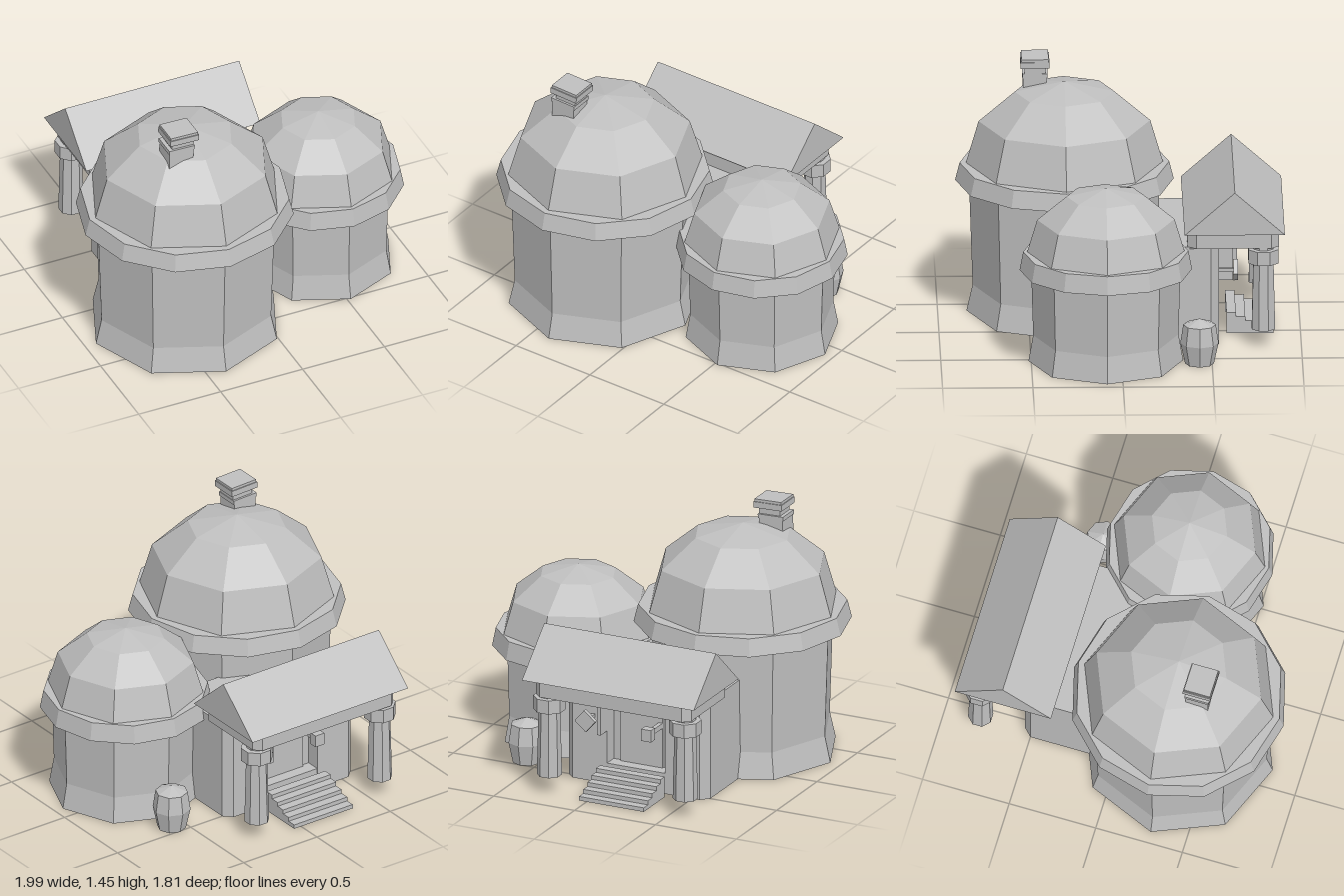
import * as THREE from 'three';

export function createModel() {
  const model = new THREE.Group();
  const stone = new THREE.MeshStandardMaterial({ color: 0xbfbfbf, flatShading: true });
  stone.name = 'pale grey stone';

  function add(name, geometry, x = 0, y = 0, z = 0, parent = model) {
    const mesh = new THREE.Mesh(geometry, stone);
    mesh.name = name;
    mesh.position.set(x, y, z);
    parent.add(mesh);
    return mesh;
  }
  const box = (name, w, h, d, x, y, z, parent) =>
    add(name, new THREE.BoxGeometry(w, h, d), x, y, z, parent);
  const lathe = (profile, sides) =>
    new THREE.LatheGeometry(profile.map(p => new THREE.Vector2(...p)), sides);
  // Upright prism over an (x, z) footprint
  function prism(name, footprint, y0, y1) {
    const shape = new THREE.Shape(footprint.map(p => new THREE.Vector2(...p)));
    const g = new THREE.ExtrudeGeometry(shape, { depth: y1 - y0, bevelEnabled: false });
    g.rotateX(Math.PI / 2);
    return add(name, g, 0, y1, 0);
  }

  // Round domed towers: hollow flared skirt, wall, twelve-sided eave ring, faceted dome
  function tower(name, x, z, skirt, wall, ring, dome) {
    const g = new THREE.Group();
    g.name = name;
    g.position.set(x, 0, z);
    model.add(g);
    add('skirt', lathe(skirt, 8), 0, 0, 0, g);
    add('wall', lathe(wall, 8), 0, 0, 0, g);
    add('eaveRing', lathe(ring, 12), 0, 0, 0, g);
    add('dome', lathe(dome, 8), 0, 0, 0, g);
  }
  tower('largeTower', -0.392, 0.298,
    [[0.504, 0.15], [0.538, 0], [0.542, 0], [0.508, 0.15]],
    [[0, 0.15], [0.508, 0.15], [0.53, 0.82]],
    [[0.5, 0.76], [0.605, 0.76], [0.58, 0.86], [0.5, 0.86]],
    [[0.56, 0.8], [0.545, 0.86], [0.475, 1.1], [0.275, 1.27], [0, 1.33]]);
  tower('smallTower', 0.52, 0.087,
    [[0.398, 0.15], [0.424, 0], [0.428, 0], [0.402, 0.15]],
    [[0, 0.15], [0.402, 0.15], [0.415, 0.6]],
    [[0.39, 0.53], [0.477, 0.53], [0.457, 0.635], [0.39, 0.635]],
    [[0.445, 0.58], [0.435, 0.635], [0.38, 0.82], [0.217, 0.955], [0, 1.003]]);

  // Slightly leaning chimney
  const chimney = new THREE.Group();
  chimney.name = 'chimney';
  chimney.position.set(-0.52, 1.235, 0.46);
  chimney.rotation.z = -0.03;
  model.add(chimney);
  box('chimneyBase', 0.145, 0.13, 0.13, 0, 0.045, 0, chimney);
  box('chimneyBand', 0.155, 0.025, 0.14, 0, 0.112, 0, chimney);
  box('chimneyNeck', 0.13, 0.06, 0.115, 0.01, 0.145, 0, chimney);
  box('chimneyCap', 0.175, 0.035, 0.16, 0.01, 0.18, 0, chimney);
  box('chimneyTop', 0.165, 0.018, 0.15, 0.01, 0.204, 0, chimney);

  // Hollow entrance hall with chamfered corners and a recessed doorway
  const cx = -0.153;
  const left = cx - 0.18, right = cx + 0.18;
  prism('hallWalls', [
    [-0.59, -0.05], [-0.59, -0.5], [-0.545, -0.545], [left, -0.545],
    [left, -0.46], [right, -0.46], [right, -0.545],
    [0.24, -0.545], [0.285, -0.5], [0.285, -0.05],
    [0.27, -0.05], [0.27, -0.494], [0.234, -0.53], [right + 0.015, -0.53],
    [right + 0.015, -0.445], [left - 0.015, -0.445], [left - 0.015, -0.53],
    [-0.539, -0.53], [-0.575, -0.494], [-0.575, -0.05]], 0, 0.57);
  box('hallCeiling', 0.875, 0.012, 0.45, cx, 0.574, -0.275);
  box('hallFloor', 0.84, 0.012, 0.14, cx, 0.11, -0.42);
  box('doorSill', 0.36, 0.12, 0.085, cx, 0.06, -0.5);
  box('doorLintel', 0.32, 0.07, 0.15, cx, 0.54, -0.545);
  box('door', 0.26, 0.38, 0.02, cx, 0.31, -0.465);
  box('doorSidePanel', 0.02, 0.265, 0.08, right + 0.01, 0.443, -0.585);

  // Sign and lamp beside the doorway
  box('hangingSign', 0.09, 0.09, 0.025, 0.11, 0.39, -0.64).rotation.z = 0.7;
  box('signBracket', 0.02, 0.02, 0.1, 0.11, 0.39, -0.585);
  box('lamp', 0.06, 0.07, 0.05, -0.27, 0.37, -0.63);
  box('lampBracket', 0.025, 0.03, 0.15, -0.27, 0.37, -0.54);

  // Porch beam
  prism('porchBeam', [
    [-0.64, -0.42], [-0.64, -0.835], [-0.6, -0.875], [0.28, -0.875],
    [0.32, -0.835], [0.32, -0.42], [0.28, -0.37], [-0.6, -0.37]], 0.58, 0.676);

  // Gabled roof
  const gable = new THREE.Shape([
    new THREE.Vector2(0.352, 0.675), new THREE.Vector2(0.907, 0.675), new THREE.Vector2(0.63, 0.92)]);
  const roof = new THREE.ExtrudeGeometry(gable, { depth: 1.062, bevelEnabled: false });
  roof.rotateY(Math.PI / 2);
  add('porchRoof', roof, -0.69, 0, 0);

  // Columns with capitals
  for (const side of [-1, 1]) {
    const x = -0.16 + side * 0.42;
    const turn = Math.PI / 8;
    add('columnShaft', new THREE.CylinderGeometry(0.058, 0.07, 0.49, 8), x, 0.345, -0.79).rotation.y = turn;
    add('columnCapital', new THREE.CylinderGeometry(0.09, 0.09, 0.08, 8), x, 0.525, -0.79).rotation.y = turn;
  }

  // Hollow entrance steps: treads, risers and stepped sides
  for (let i = 0; i < 5; i++) {
    const h = 0.024 * (5 - i);
    const z = -0.616 - i * 0.052;
    box('stepTread', 0.4, 0.008, 0.052, cx, h - 0.004, z);
    box('stepRiser', 0.4, 0.024, 0.006, cx, h - 0.012, z - 0.023);
    for (const side of [-1, 1]) box('stepSide', 0.008, h, 0.052, cx + side * 0.196, h / 2, z);
  }

  // Covered jar beside the small tower
  add('jar', lathe([[0, 0], [0.08, 0], [0.106, 0.12], [0.09, 0.225], [0, 0.26]], 8), 0.58, 0, -0.43);

  return model;
}
